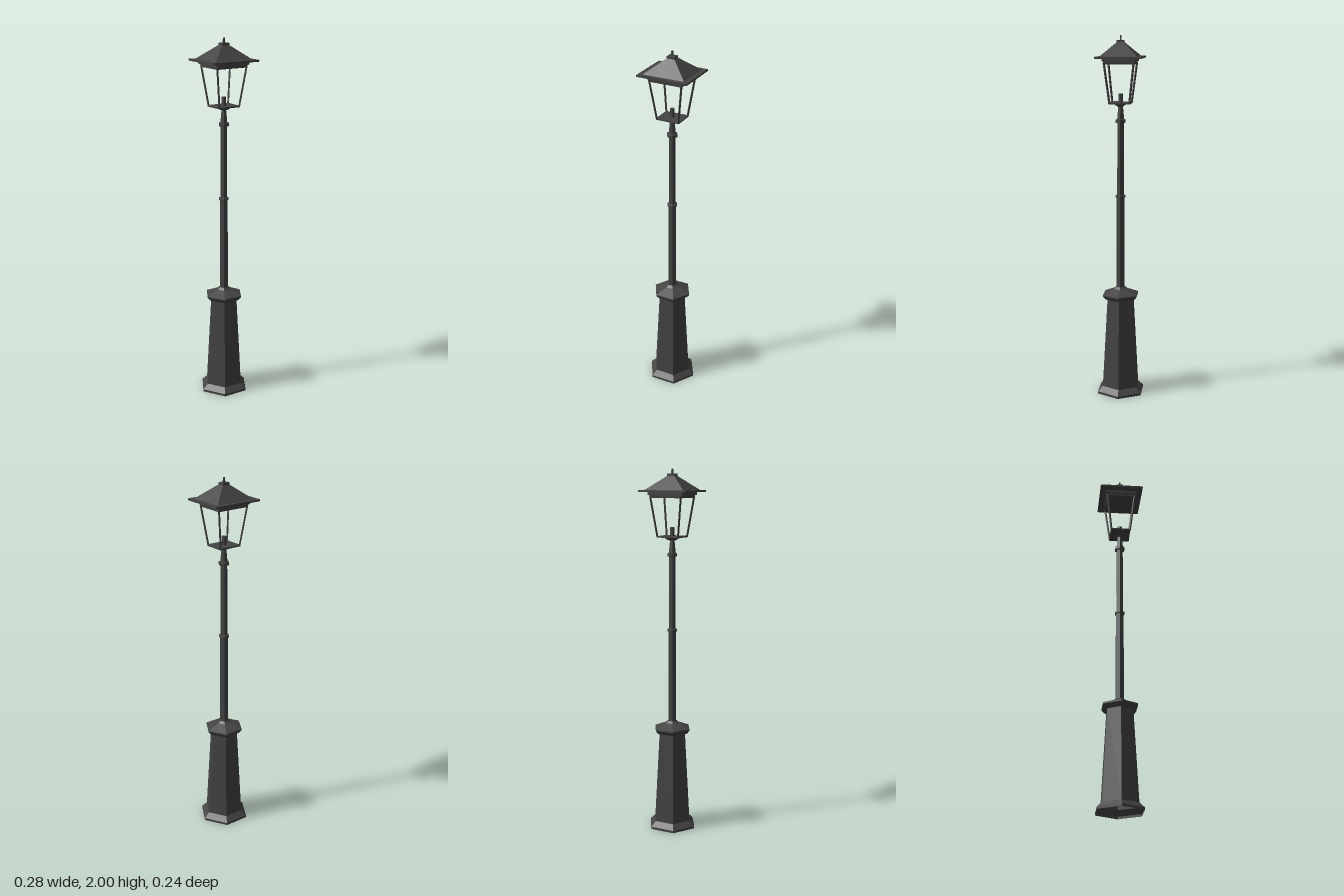
import * as THREE from 'three';

const DEPTH = 0.86; // the lantern is slightly shallower than it is wide

export function createModel() {
  const group = new THREE.Group();
  group.name = 'streetLamp';
  const iron = new THREE.MeshStandardMaterial({ color: 0x444444, flatShading: true, side: THREE.DoubleSide });
  iron.name = 'dark iron';

  const add = (name, geometry) => {
    const mesh = new THREE.Mesh(geometry, iron);
    mesh.name = name;
    group.add(mesh);
    return mesh;
  };

  // Six-sided turned part from [radius, height] points, corners on the x axis
  const hexPart = (name, points) =>
    add(name, new THREE.LatheGeometry(points.map(([r, y]) => new THREE.Vector2(r, y)), 6, Math.PI / 2));

  // Rectangular tapered block: half widths at bottom and top
  const block = (name, y0, w0, y1, w1) => {
    const g = new THREE.CylinderGeometry(w1 * Math.SQRT2, w0 * Math.SQRT2, y1 - y0, 4, 1);
    g.rotateY(Math.PI / 4);
    g.scale(1, 1, DEPTH);
    g.translate(0, (y0 + y1) / 2, 0);
    return add(name, g);
  };

  // Pedestal, hollow and open underneath
  hexPart('pedestalFoot', [[0.14, 0], [0.14, 0.013], [0.11, 0.041]]);
  hexPart('pedestalBody', [[0.11, 0.041], [0.08, 0.548]]);
  hexPart('pedestalCap', [[0.08, 0.548], [0.092, 0.549], [0.108, 0.567], [0.108, 0.576], [0.04, 0.603], [0.024, 0.616]]);

  // Pole in two stages with collars
  hexPart('lowerPole', [[0.025, 0.605], [0.024, 1.124]]);
  hexPart('poleRing', [[0.023, 1.122], [0.03, 1.124], [0.03, 1.133], [0.02, 1.137]]);
  hexPart('upperPole', [[0.021, 1.13], [0.019, 1.535]]);
  hexPart('poleCollar', [[0.019, 1.532], [0.03, 1.534], [0.03, 1.55], [0.021, 1.553]]);
  hexPart('lanternNeck', [[0.021, 1.55], [0.014, 1.62]]);

  // Lantern floor and lamp holder
  block('lanternFunnel', 1.619, 0.014, 1.637, 0.038);
  block('lanternFloor', 1.636, 0.066, 1.644, 0.066);
  hexPart('lampHolder', [[0.014, 1.64], [0.014, 1.69], [0, 1.69]]);

  // Four slanted corner bars
  for (const sx of [-1, 1]) {
    for (const sz of [-1, 1]) {
      const a = new THREE.Vector3(sx * 0.062, 1.638, sz * 0.062 * DEPTH);
      const b = new THREE.Vector3(sx * 0.092, 1.855, sz * 0.092 * DEPTH);
      const bar = add('cornerBar', new THREE.CylinderGeometry(0.006, 0.006, a.distanceTo(b), 4));
      bar.position.copy(a).lerp(b, 0.5);
      bar.quaternion.setFromUnitVectors(new THREE.Vector3(0, 1, 0), b.clone().sub(a).normalize());
    }
  }

  // Roof
  block('lowerRoofBand', 1.847, 0.094, 1.864, 0.096);
  block('upperRoofBand', 1.862, 0.103, 1.88, 0.103);
  block('roofBrim', 1.878, 0.142, 1.888, 0.142);
  block('roof', 1.887, 0.118, 1.962, 0.022);
  block('roofCap', 1.96, 0.022, 1.974, 0.022);
  block('finial', 1.97, 0.005, 2.0, 0.004);

  return group;
}
